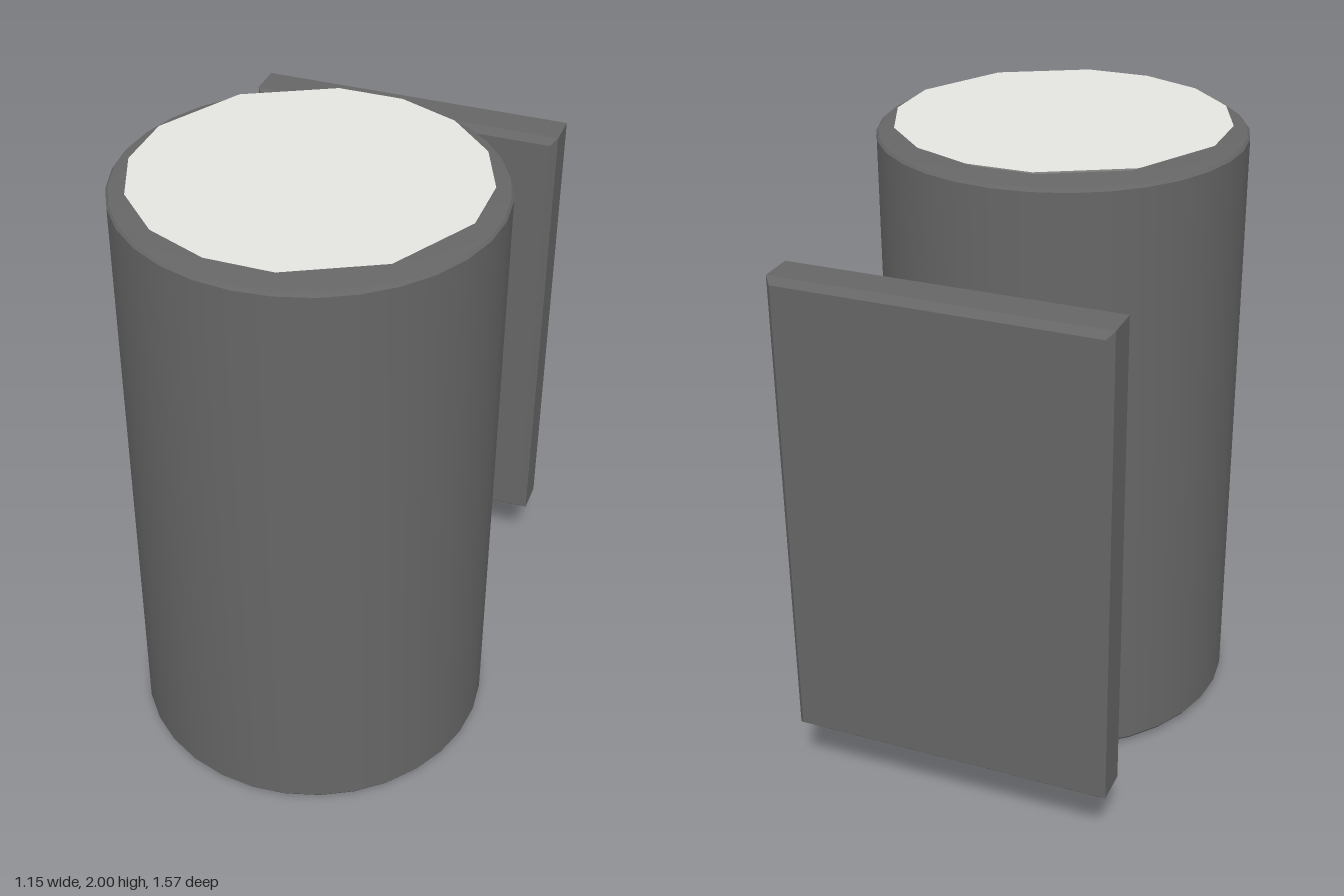
import * as THREE from 'three';
import { toCreasedNormals } from 'three/addons/utils/BufferGeometryUtils.js';

const CENTER_Z = 0.205;
// Uneven facets around the rim of each lens, in degrees
const LENS_ANGLES = [11.25, 45, 78.75, 101.25, 123.75, 146.25, 168.75, 191.25, 225, 258.75, 281.25, 303.75, 326.25, 348.75];

// Shallow faceted disc, flared towards its outer face
function lensGeometry() {
  const n = LENS_ANGLES.length;
  const geometry = new THREE.CylinderGeometry(0.525, 0.47, 0.025, n);
  const p = geometry.attributes.position;
  for (let i = 0; i < p.count; i++) {
    const r = Math.hypot(p.getX(i), p.getZ(i));
    if (r < 0.01) continue;
    const turn = Math.atan2(p.getX(i), p.getZ(i)) / (2 * Math.PI);
    const step = ((Math.round(turn * n) % n) + n) % n;
    // Cylinder steps run from +z to +x, so the list is read backwards
    const a = THREE.MathUtils.degToRad(LENS_ANGLES[n - 1 - step]);
    p.setX(i, r * Math.cos(a));
    p.setZ(i, r * Math.sin(a));
  }
  return toCreasedNormals(geometry, 0.2);
}

export function createModel() {
  const group = new THREE.Group();
  const metal = new THREE.MeshStandardMaterial({ color: 0x666666 });
  metal.name = 'darkGrey';
  const glass = new THREE.MeshStandardMaterial({ color: 0xe4e4e1 });
  glass.name = 'paleGlass';

  function add(name, geometry, material, x, y, z) {
    const mesh = new THREE.Mesh(geometry, material);
    mesh.name = name;
    mesh.position.set(x, y, z);
    group.add(mesh);
    return mesh;
  }

  // Cylindrical housing with slightly raised rims
  const profile = [[0, 0.015], [0.51, 0.015], [0.57, 0.02], [0.577, 0.03], [0.577, 1.96], [0.57, 1.968], [0.51, 1.978], [0, 1.978]]
    .map(([x, y]) => new THREE.Vector2(x, y));
  add('housing', toCreasedNormals(new THREE.LatheGeometry(profile, 32), 0.6), metal, 0, 0, CENTER_Z);

  // Lenses at both ends
  add('topLens', lensGeometry(), glass, 0, 1.9875, CENTER_Z);
  add('bottomLens', lensGeometry(), glass, 0, 0.0125, CENTER_Z).rotation.z = Math.PI;

  // Round arm to the wall
  const arm = new THREE.CylinderGeometry(0.13, 0.13, 0.36, 24);
  arm.rotateX(Math.PI / 2);
  add('arm', arm, metal, 0, 1, -0.48);

  // Wall plate with chamfered front and back edges
  const w = 0.495, h = 0.75, bevel = 0.022;
  const outline = new THREE.Shape([[-w, -h], [w, -h], [w, h], [-w, h]].map(([x, y]) => new THREE.Vector2(x, y)));
  const plate = new THREE.ExtrudeGeometry(outline, {
    depth: 0.155 - 2 * bevel, bevelEnabled: true, bevelSegments: 1, bevelSize: 0.02, bevelThickness: bevel,
  });
  add('wallPlate', toCreasedNormals(plate, 0.5), metal, 0, 1, -0.785 + bevel);

  return group;
}
